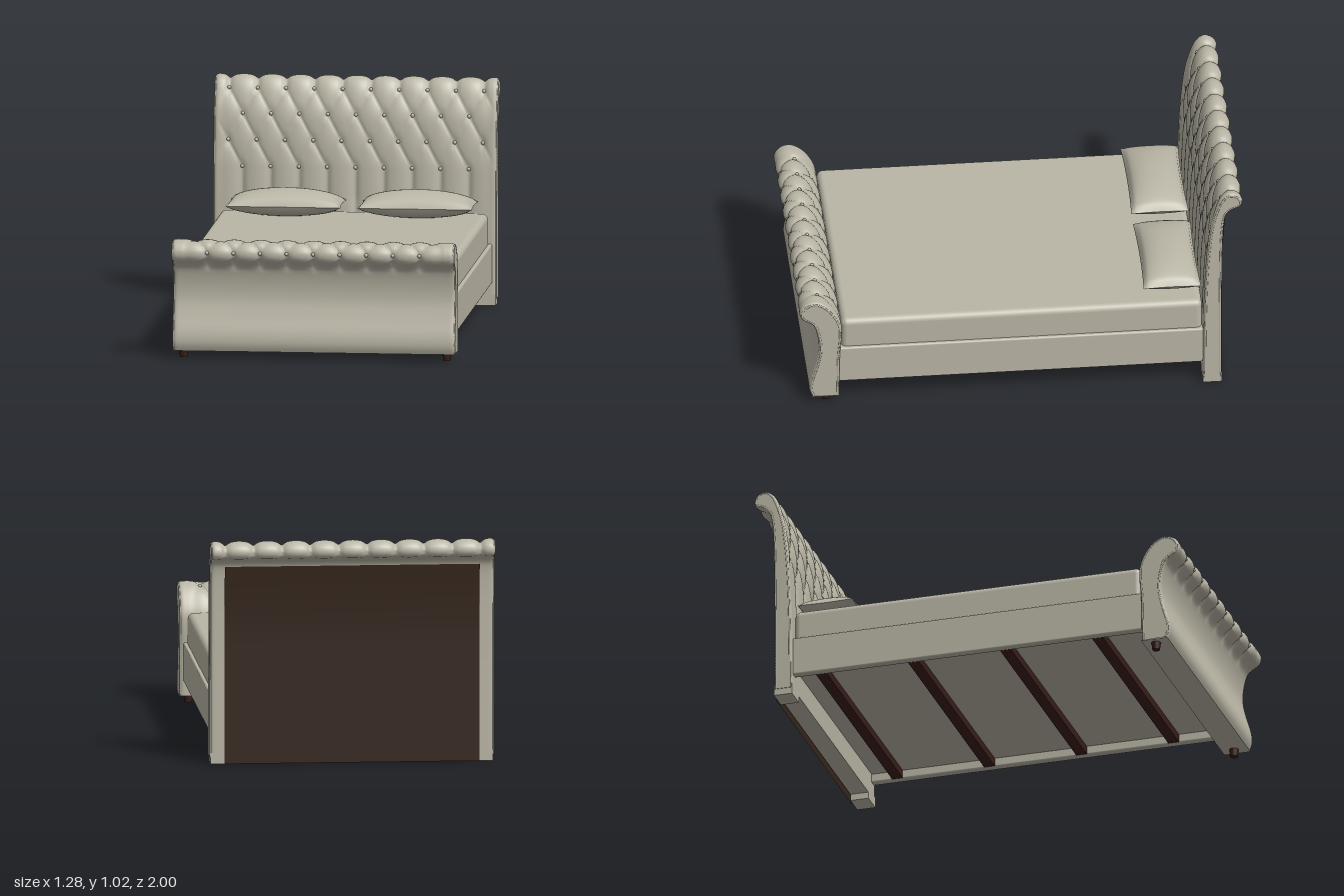
import * as THREE from 'three';
import { mergeGeometries } from 'three/addons/utils/BufferGeometryUtils.js';
import { RoundedBoxGeometry } from 'three/addons/geometries/RoundedBoxGeometry.js';

const upholstery = new THREE.MeshStandardMaterial({ color: 0xbab6a6, side: THREE.DoubleSide });
upholstery.name = 'upholstery';
const backing = new THREE.MeshStandardMaterial({ color: 0x35261c, side: THREE.DoubleSide });
backing.name = 'backing';
const darkWood = new THREE.MeshStandardMaterial({ color: 0x3a1e18 });
darkWood.name = 'darkWood';

const STEP = 0.015;   // spacing of samples along a board profile
const ROW = 8;        // samples between two rows of buttons

function add(parent, name, geometry, material, x = 0, y = 0, z = 0) {
  const mesh = new THREE.Mesh(geometry, material);
  mesh.name = name;
  mesh.position.set(x, y, z);
  parent.add(mesh);
  return mesh;
}

// Tufted board: a (z, y) profile swept along x, pressed in along a diamond
// lattice of creases. The tufted side faces +z and the roll goes towards -z.
function tuftedBoard(name, o) {
  const group = new THREE.Group();
  group.name = name;
  const curve = new THREE.SplineCurve(o.profile.map(p => new THREE.Vector2(...p)));
  curve.arcLengthDivisions = 1000;
  const n = Math.round(curve.getLength() / STEP);
  const points = curve.getSpacedPoints(n);
  const normals = points.map((p, i) => {
    const t = curve.getTangentAt(i / n);
    return new THREE.Vector2(t.y, -t.x);
  });
  const clamp = THREE.MathUtils.clamp;

  // Depth of the surface below the padded outline
  const press = (i, x) => {
    const k = clamp((i - o.firstRow) / ROW, 0, o.rows - 1);
    const p = Math.PI * (x / o.column + k / 2), q = Math.PI * (x / o.column - k / 2);
    const puff = Math.sqrt(Math.abs(Math.sin(p) * Math.sin(q)));
    const pit = Math.pow(Math.cos(p) * Math.cos(q), 8);
    const fade = clamp((i - o.fadeIn) / 12, 0, 1) * clamp((o.fadeOut - i) / 4, 0, 1)
      * clamp((o.edge + 0.05 - Math.abs(x)) / 0.05, 0, 1);
    const t = clamp((Math.abs(x) - o.half + 0.02) / 0.02, 0, 1);
    return fade * (0.012 * (1 - puff) + 0.008 * pit) + 0.01 * (1 - Math.sqrt(1 - t * t));
  };
  const at = (i, depth) => points[i].clone().addScaledVector(normals[i], -depth);

  const cols = Math.round(2 * o.half / (o.column / 16));
  const position = [], index = [];
  for (let i = 0; i <= n; i++) {
    for (let j = 0; j <= cols; j++) {
      const x = -o.half + 2 * o.half * j / cols;
      const v = at(i, press(i, x));
      position.push(x, v.y, v.x);
      if (i < n && j < cols) {
        const a = i * (cols + 1) + j, c = a + cols + 1;
        index.push(a, a + 1, c, a + 1, c + 1, c);
      }
    }
  }
  const skin = new THREE.BufferGeometry();
  skin.setAttribute('position', new THREE.Float32BufferAttribute(position, 3));
  skin.setIndex(index);
  skin.computeVertexNormals();
  add(group, 'paddedCover', skin, upholstery);

  // Flat ends with piping
  const outline = points.map((p, i) => at(i, 0.01));
  for (const side of [-1, 1]) {
    const cap = new THREE.ShapeGeometry(new THREE.Shape(outline));
    cap.rotateY(-Math.PI / 2);
    const end = add(group, 'endPanel', cap, upholstery, side * o.half);
    if (side > 0) end.scale.x = -1;
    const path = new THREE.CatmullRomCurve3(
      outline.map(p => new THREE.Vector3(side * (o.half - 0.003), p.y, p.x)));
    add(group, 'piping', new THREE.TubeGeometry(path, n, 0.005, 6), upholstery);
  }

  // Underside
  const z0 = points[0].x, z1 = points[n].x;
  const under = new THREE.PlaneGeometry(2 * o.half, z0 - z1).rotateX(Math.PI / 2);
  add(group, 'underside', under, upholstery, 0, points[0].y, (z0 + z1) / 2);

  // Buttons at the lattice crossings
  const ball = new THREE.SphereGeometry(0.009, 10, 8);
  for (let k = 0; k < o.rows; k++) {
    const i = o.firstRow + k * ROW;
    for (let m = -6; m <= 6; m++) {
      const x = (m + (k % 2) / 2) * o.column;
      if (Math.abs(x) > o.edge + 0.005) continue;
      const v = at(i, press(i, x) - 0.003);
      add(group, 'button', ball, upholstery, x, v.y, v.x);
    }
  }
  return group;
}

// Pillow: two bulged sheets meeting at a seam, with pulled-out corners
function pillowGeometry(width, depth) {
  const sheet = (height) => {
    const g = new THREE.PlaneGeometry(2, 2, 28, 20).rotateX(-Math.PI / 2);
    const p = g.attributes.position;
    for (let i = 0; i < p.count; i++) {
      const u = p.getX(i), v = p.getZ(i);
      const bulge = Math.pow(Math.max(0, (1 - u * u) * (1 - v * v)), 0.45);
      p.setXYZ(i, u * width / 2 * (1 - 0.03 * (1 - v * v)), height * bulge,
        v * depth / 2 * (1 - 0.05 * (1 - u * u)));
    }
    if (height < 0) g.index.array.reverse();
    g.computeVertexNormals();
    return g;
  };
  return mergeGeometries([sheet(0.07), sheet(-0.055)]);
}

export function createModel() {
  const bed = new THREE.Group();
  bed.name = 'bed';

  // Headboard
  const headboard = tuftedBoard('headboard', {
    profile: [[-0.82, 0.03], [-0.821, 0.2], [-0.824, 0.42], [-0.831, 0.6], [-0.842, 0.74],
      [-0.856, 0.85], [-0.877, 0.93], [-0.903, 0.99], [-0.94, 1.018], [-0.98, 1.007],
      [-1, 0.975], [-0.987, 0.945], [-0.955, 0.933], [-0.925, 0.9], [-0.912, 0.8],
      [-0.907, 0.6], [-0.905, 0.3], [-0.905, 0.03]],
    half: 0.64, column: 0.128, firstRow: 39, rows: 4, fadeIn: 18, fadeOut: 78, edge: 0.576,
  });
  bed.add(headboard);

  // Brown panel following the back of the headboard
  const panel = new THREE.PlaneGeometry(1.15, 0.9, 1, 20).rotateY(Math.PI).translate(0, 0.45, 0);
  const p = panel.attributes.position;
  for (let i = 0; i < p.count; i++) {
    const t = Math.max(0, (p.getY(i) - 0.55) / 0.35);
    p.setZ(i, -0.911 - 0.02 * t * t);
  }
  panel.computeVertexNormals();
  add(headboard, 'backPanel', panel, backing);

  // Footboard, turned to face the headboard
  const footboard = tuftedBoard('footboard', {
    profile: [[-0.822, 0.035], [-0.82, 0.15], [-0.818, 0.25], [-0.81, 0.35], [-0.815, 0.42],
      [-0.85, 0.488], [-0.895, 0.53], [-0.94, 0.542], [-0.98, 0.525], [-1, 0.49],
      [-0.992, 0.455], [-0.965, 0.437], [-0.935, 0.41], [-0.917, 0.34], [-0.915, 0.27],
      [-0.93, 0.2], [-0.953, 0.12], [-0.957, 0.07], [-0.945, 0.035]],
    half: 0.6375, column: 0.12, firstRow: 28, rows: 3, fadeIn: -6, fadeOut: 52, edge: 0.54,
  });
  footboard.rotation.y = Math.PI;
  bed.add(footboard);

  // Mirrored parts: headboard legs, side rails, feet, pillows
  const legGeo = new THREE.BoxGeometry(0.105, 0.05, 0.085);
  const railGeo = new RoundedBoxGeometry(0.04, 0.18, 1.65, 3, 0.008);
  const footGeo = new THREE.CylinderGeometry(0.022, 0.017, 0.04, 16);
  const pillowGeo = pillowGeometry(0.52, 0.26);
  for (const [side, label] of [[1, 'left'], [-1, 'right']]) {
    add(bed, label + 'HeadLeg', legGeo, upholstery, side * 0.5845, 0.025, -0.8625);
    add(bed, label + 'SideRail', railGeo, upholstery, side * 0.601, 0.19, 0);
    add(bed, label + 'Foot', footGeo, darkWood, side * 0.595, 0.02, 0.88);
    add(bed, label + 'Pillow', pillowGeo, upholstery, side * 0.298, 0.47, -0.69);
  }

  // Mattress on its base
  add(bed, 'mattress', new RoundedBoxGeometry(1.21, 0.17, 1.63, 5, 0.028),
    upholstery, 0, 0.335, -0.005);
  add(bed, 'mattressBase', new THREE.BoxGeometry(1.18, 0.13, 1.64), upholstery, 0, 0.205, 0);

  // Cross slats under the base
  const slatGeo = new THREE.BoxGeometry(1.165, 0.04, 0.05);
  for (let i = 0; i < 4; i++) add(bed, 'slat', slatGeo, darkWood, 0, 0.123, 0.6 - i * 0.433);

  return bed;
}
